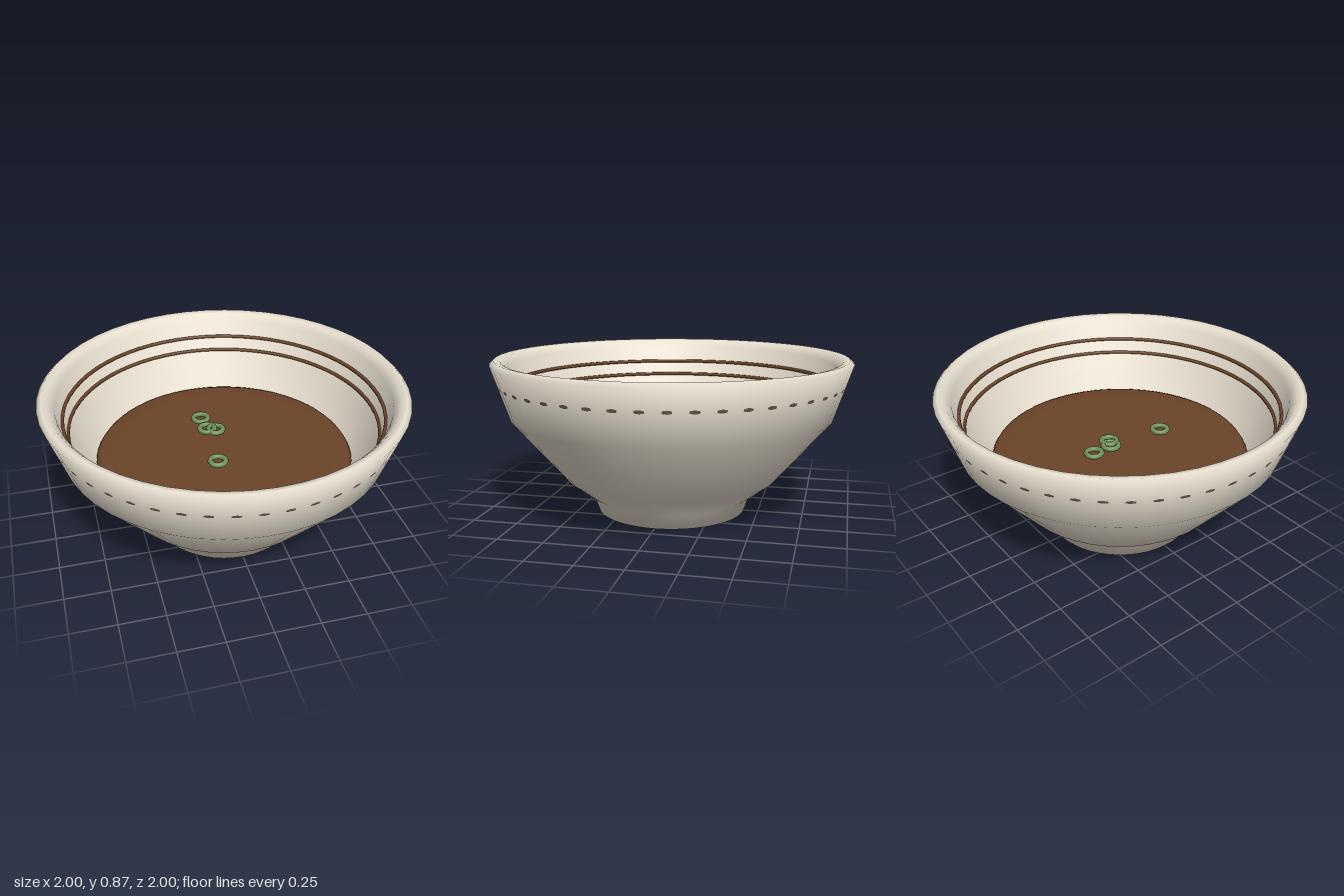
import * as THREE from 'three';

const mat = (name, color, side = THREE.FrontSide) => {
  const m = new THREE.MeshStandardMaterial({ color, side });
  m.name = name;
  return m;
};

// Lathe whose smooth normals weigh the two neighbouring profile segments equally
function smoothLathe(points, segments) {
  const profile = points.map(([r, y]) => new THREE.Vector2(r, y));
  const slopes = profile.slice(1).map((p, i) =>
    new THREE.Vector2(p.y - profile[i].y, profile[i].x - p.x).normalize());
  const normals = profile.map((_, i) => {
    const before = slopes[Math.max(i - 1, 0)];
    const after = slopes[Math.min(i, slopes.length - 1)];
    return before.clone().add(after).normalize();
  });
  const geometry = new THREE.LatheGeometry(profile, segments);
  for (let s = 0; s <= segments; s++) {
    const phi = (s / segments) * Math.PI * 2;
    normals.forEach((n, j) => geometry.attributes.normal.setXYZ(
      s * normals.length + j, n.x * Math.sin(phi), n.y, n.x * Math.cos(phi)));
  }
  return geometry;
}

const flatRing = (radius, tube, sides, segments) =>
  new THREE.TorusGeometry(radius, tube, sides, segments).rotateX(Math.PI / 2);

export function createModel() {
  const group = new THREE.Group();
  group.name = 'soupBowl';
  const ceramic = mat('cream ceramic', 0xe8e0d0, THREE.DoubleSide);
  const brown = mat('broth and glaze brown', 0x6b4428);
  const taupe = mat('dark taupe glaze', 0x6a6052, THREE.DoubleSide);
  const green = mat('scallion green', 0x6f935a);

  const add = (name, geometry, material, x = 0, y = 0, z = 0) => {
    const mesh = new THREE.Mesh(geometry, material);
    mesh.name = name;
    mesh.position.set(x, y, z);
    group.add(mesh);
  };

  // Bowl wall: flat foot, flared outside, rolled rim, then down the inside
  add('bowl', smoothLathe([
    [0, 0], [0.42, 0], [0.45, 0.085], [0.6, 0.2], [0.9, 0.55], [1, 0.85], [0.975, 0.872],
    [0.94, 0.864], [0.908, 0.825], [0.83, 0.55], [0.55, 0.22], [0, 0.15],
  ], 48), ceramic);

  // Level broth with a softly rounded edge
  add('broth', smoothLathe([
    [0.7, 0.4], [0.72, 0.44], [0.71, 0.456], [0.685, 0.466], [0.6, 0.468], [0, 0.47],
  ], 64), brown);

  // Painted rings inside the rim
  add('upperInnerRing', flatRing(0.877, 0.01, 8, 64), brown, 0, 0.733, 0);
  add('lowerInnerRing', flatRing(0.855, 0.01, 8, 64), brown, 0, 0.65, 0);

  // Outer glaze line that surfaces only at the middle of each wall facet
  add('outerDashes', smoothLathe(
    [[0.724, 0.9978], [0.73, 0.9982], [0.74, 0.9982], [0.746, 0.9978]]
      .map(([y, inset]) => [(0.9 + (y - 0.55) / 3) * inset, y]), 288), taupe);

  // Scallion slices over the broth
  [[-0.08, -0.235], [-0.07, -0.115], [-0.025, -0.095], [-0.09, 0.215]].forEach(([x, z], i) =>
    add(`scallion${i + 1}`, flatRing(0.042, 0.015, 8, 20), green, x, 0.532, z));

  return group;
}
